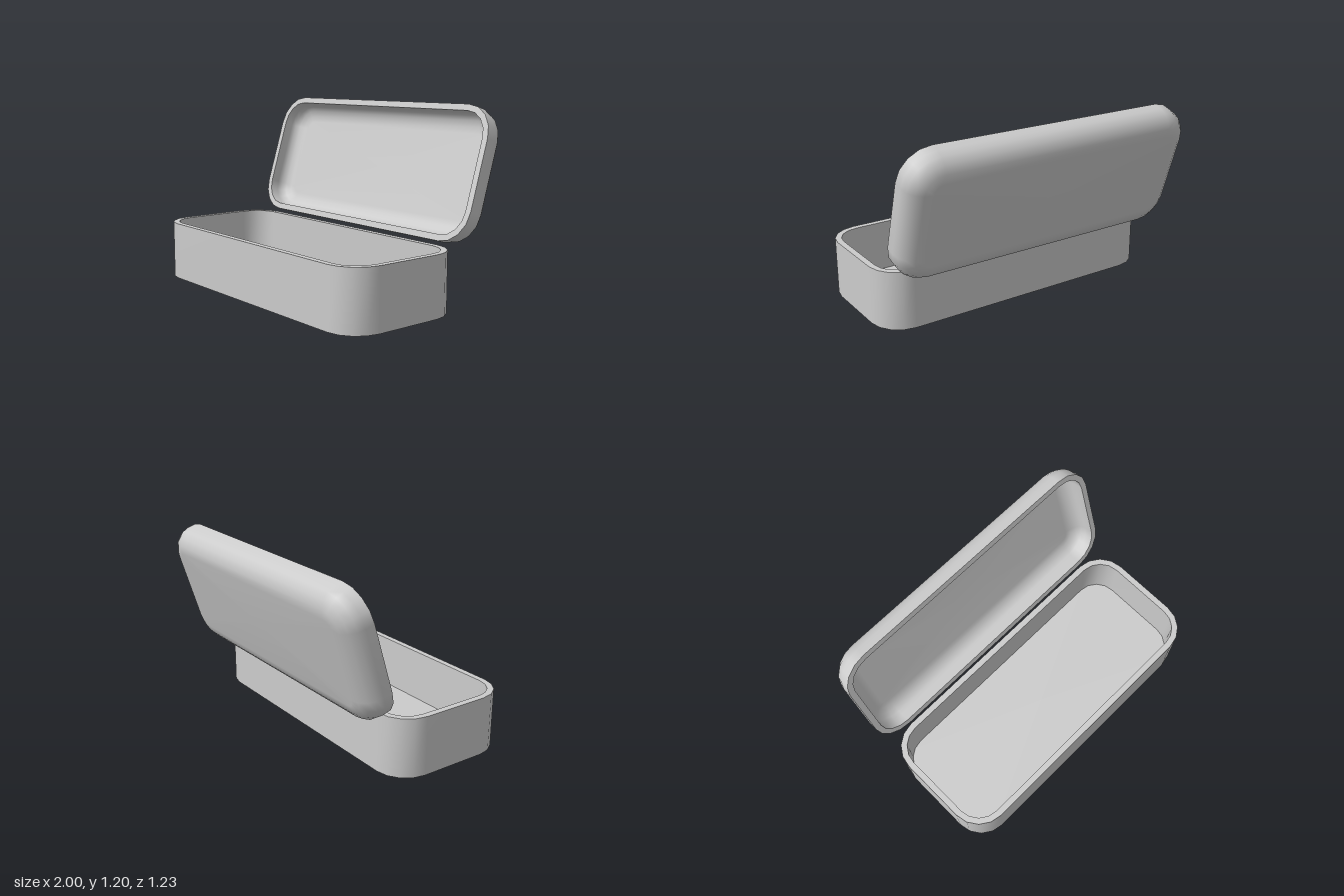
import * as THREE from 'three';
import { mergeGeometries } from 'three/addons/utils/BufferGeometryUtils.js';

const HALF_X = 1, HALF_Z = 0.42, RADIUS = 0.2, CORNER_SEGS = 4, WALL = 0.04;

// Rounded-rectangle outline moved inward by inset; CENTRE collapses it to a point
const CENTRE = null;
function outline(inset) {
  const pts = [];
  for (let c = 0; c < 4; c++) {
    const sx = c === 0 || c === 3 ? 1 : -1, sz = c < 2 ? 1 : -1;
    for (let i = 0; i <= CORNER_SEGS; i++) {
      const a = (c + i / CORNER_SEGS) * Math.PI / 2, r = RADIUS - inset;
      pts.push(inset === CENTRE ? [0, 0] : [
        sx * (HALF_X - RADIUS) + r * Math.cos(a),
        sz * (HALF_Z - RADIUS) + r * Math.sin(a)]);
    }
  }
  return pts;
}

// Smooth strip through rings given as [inset, height]
function strip(profile) {
  const n = 4 * (CORNER_SEGS + 1), pos = [], idx = [];
  for (const [inset, y] of profile) for (const [x, z] of outline(inset)) pos.push(x, y, z);
  for (let j = 0; j < profile.length - 1; j++) {
    for (let i = 0; i < n; i++) {
      const a = j * n + i, b = j * n + (i + 1) % n;
      if (profile[j][0] !== CENTRE) idx.push(a, a + n, b);
      if (profile[j + 1][0] !== CENTRE) idx.push(b, a + n, b + n);
    }
  }
  const g = new THREE.BufferGeometry();
  g.setAttribute('position', new THREE.Float32BufferAttribute(pos, 3));
  g.setIndex(idx);
  g.computeVertexNormals();
  return g;
}

// Rounded shoulder from a vertical wall to a flat top
function shoulder(inset, width, y, height) {
  const pts = [];
  for (let i = 0; i <= 4; i++) {
    const a = i / 4 * Math.PI / 2;
    pts.push([inset + width * (1 - Math.cos(a)), y + height * Math.sin(a)]);
  }
  return pts;
}

// Each strip keeps its own vertices, so the edges between strips stay sharp
function shell(name, strips) {
  const mesh = new THREE.Mesh(mergeGeometries(strips.map(strip)),
    new THREE.MeshStandardMaterial({ color: 0xcccccc }));
  mesh.name = name;
  return mesh;
}

export function createModel() {
  const model = new THREE.Group();
  model.name = 'openCase';

  // Tray: underside, outer wall, rim, inner wall, floor
  const H = 0.375, FLOOR = 0.04;
  const tray = shell('tray', [
    [[CENTRE, 0], [0, 0]],
    [[0, 0], [0, H]],
    [[0, H], [WALL, H]],
    [[WALL, H], [WALL, FLOOR]],
    [[WALL, FLOOR], [CENTRE, FLOOR]],
  ]);
  tray.position.z = 0.198;
  model.add(tray);

  // Lid: hollow inside, rim, domed outside
  const outer = shoulder(0, 0.14, 0.06, 0.12);
  const inner = shoulder(WALL, 0.11, 0.06, 0.08).reverse();
  const lid = shell('lid', [
    [[CENTRE, 0.14], ...inner, [WALL, 0]],
    [[WALL, 0], [0, 0]],
    [[0, 0], ...outer, [CENTRE, 0.18]],
  ]);
  lid.position.z = HALF_Z;

  // Hinge line along the back, lid swung open past upright
  const hinge = new THREE.Group();
  hinge.name = 'lidHinge';
  hinge.position.set(0, 0.398, -0.227);
  hinge.rotation.x = -(Math.PI / 2 + 0.3);
  hinge.add(lid);
  model.add(hinge);
  return model;
}
